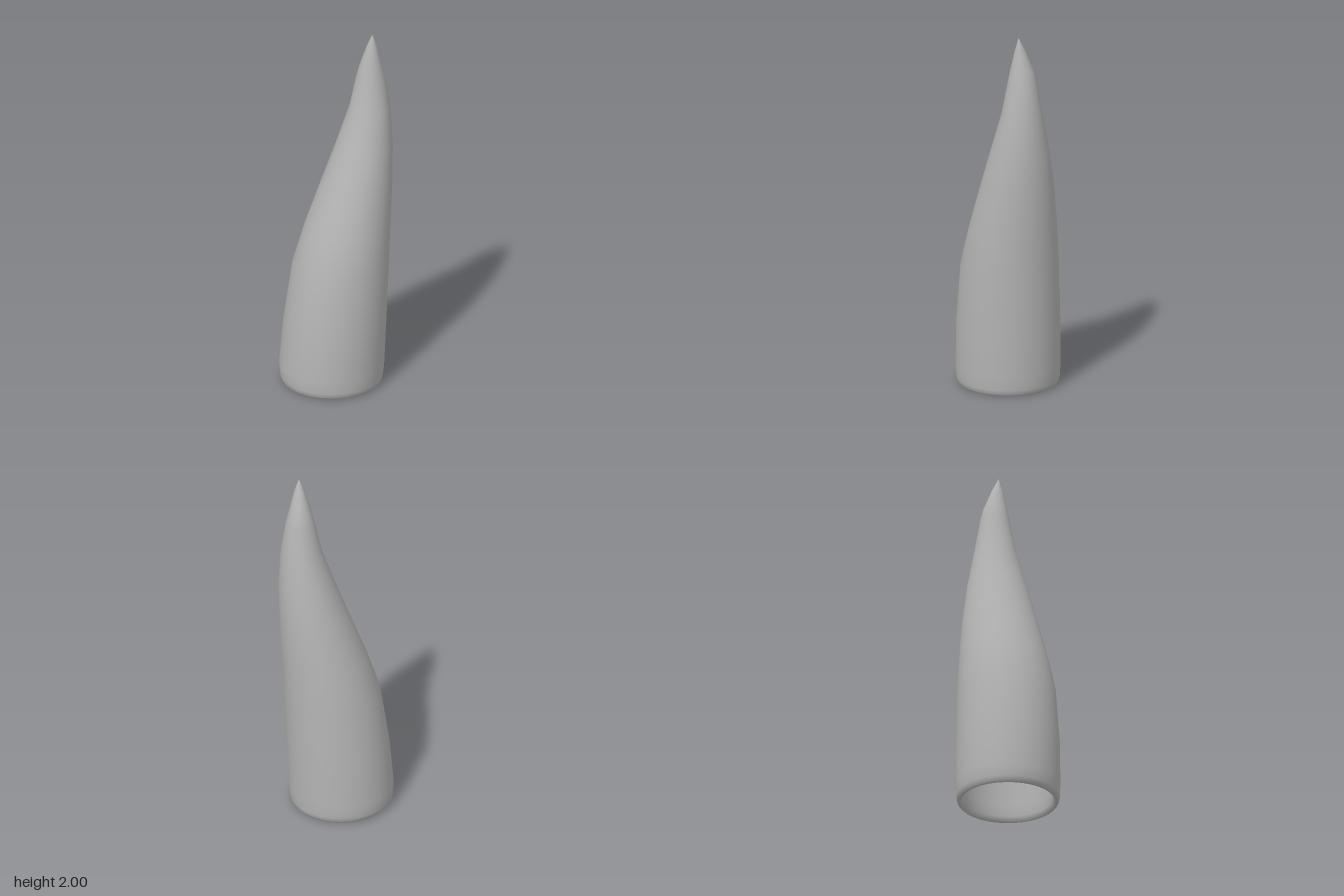
import * as THREE from 'three';

// Cross-sections from base to tip: [y, left x, right x, back z, front z]
const SECTIONS = [
  [0.035, -0.304, 0.245, -0.274, 0.278],
  [0.1, -0.308, 0.251, -0.277, 0.281],
  [0.35, -0.286, 0.262, -0.274, 0.28],
  [0.68, -0.237, 0.276, -0.263, 0.261],
  [0.9, -0.167, 0.287, -0.248, 0.22],
  [1.12, -0.085, 0.299, -0.228, 0.173],
  [1.35, 0.0, 0.305, -0.196, 0.12],
  [1.57, 0.075, 0.293, -0.154, 0.065],
  [1.74, 0.11, 0.267, -0.125, 0.034],
  [1.81, 0.128, 0.249, -0.108, 0.021],
  [1.93, 0.165, 0.221, -0.06, -0.005],
  [1.98, 0.185, 0.204, -0.034, -0.019],
  [2.0, 0.195, 0.195, -0.025, -0.025],
];
const SIDES = 36;

const inset = ([y, l, r, b, f], d, newY = y) => [newY, l + d, r - d, b + d, f - d];

// Skins a list of elliptical rings with a smooth, seamless surface
function loft(rings) {
  const positions = [], index = [];
  rings.forEach(([y, l, r, b, f], i) => {
    for (let j = 0; j < SIDES; j++) {
      const a = (j / SIDES) * Math.PI * 2;
      positions.push((l + r) / 2 + Math.cos(a) * (r - l) / 2, y, (b + f) / 2 - Math.sin(a) * (f - b) / 2);
      if (i === 0) continue;
      const k = (j + 1) % SIDES, lo = (i - 1) * SIDES, hi = i * SIDES;
      index.push(lo + j, lo + k, hi + k, lo + j, hi + k, hi + j);
    }
  });
  const geometry = new THREE.BufferGeometry();
  geometry.setAttribute('position', new THREE.Float32BufferAttribute(positions, 3));
  geometry.setIndex(index);
  geometry.computeVertexNormals();
  return geometry;
}

export function createModel() {
  const group = new THREE.Group();
  group.name = 'hollowHorn';
  const hornGrey = new THREE.MeshStandardMaterial({ color: 0xb4b4b4, side: THREE.DoubleSide });
  hornGrey.name = 'hornGrey';

  const base = SECTIONS[0];
  // Hollow inside, tapering to a point below the tip
  const cavity = SECTIONS.slice(1, 9).map((s) => inset(s, 0.035)).reverse();
  const cavityTop = [1.84, 0.19, 0.19, -0.045, -0.045];
  // Rounded lip that turns under into the cavity
  const lip = [inset(base, 0.036, 0.03), inset(base, 0.024, 0.004), inset(base, 0.016, 0), inset(base, 0.005, 0.012)];

  const horn = new THREE.Mesh(loft([cavityTop, ...cavity, ...lip, ...SECTIONS]), hornGrey);
  horn.name = 'hornShell';
  group.add(horn);
  return group;
}
